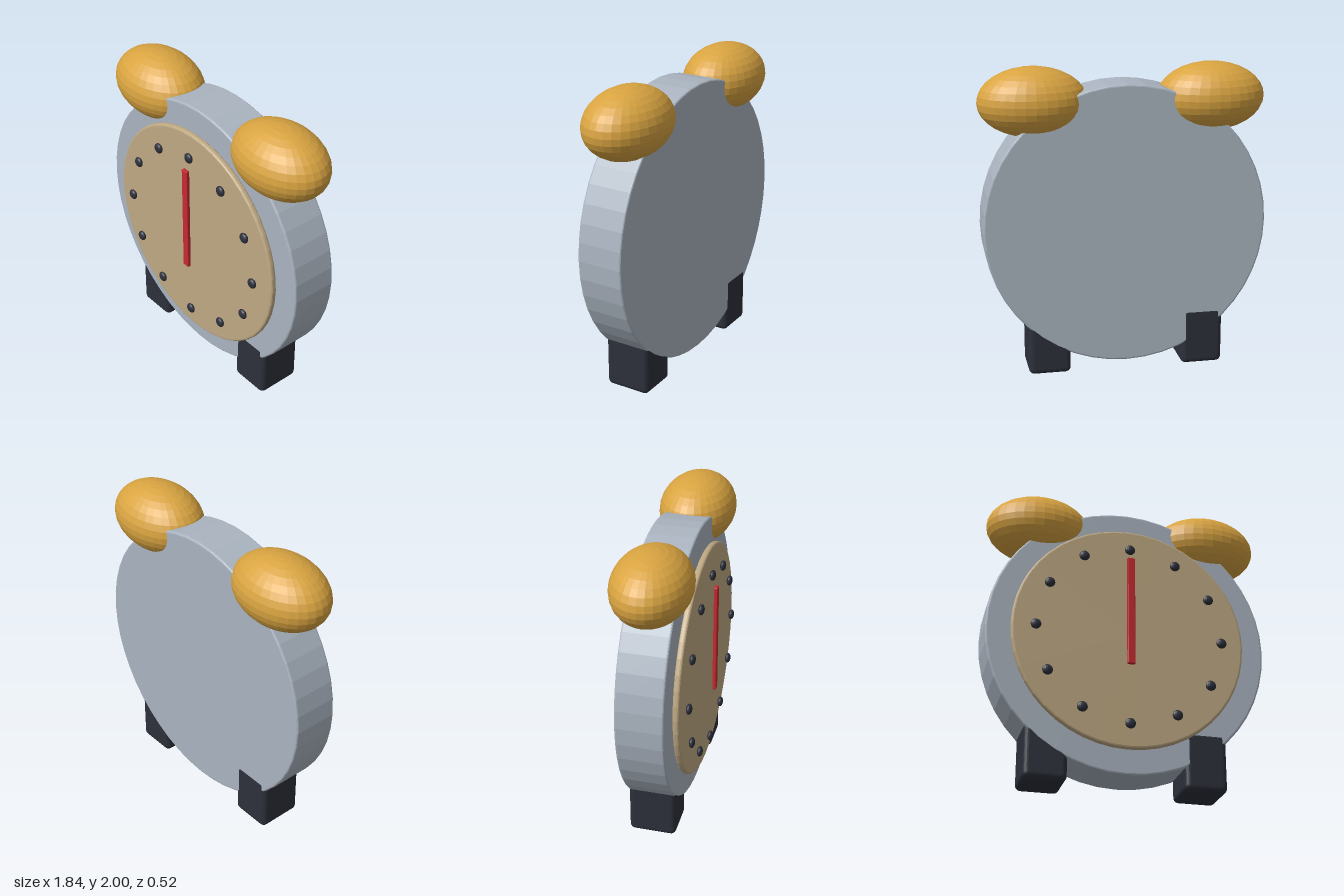
import * as THREE from 'three';
import { RoundedBoxGeometry } from 'three/addons/geometries/RoundedBoxGeometry.js';

const CENTRE_Y = 0.978; // middle of the dial
const MID_Z = -0.011;   // middle of the case thickness

const paint = (color) => new THREE.MeshStandardMaterial({ color, flatShading: true });
const steel = paint(0xaab4c0);
const cream = paint(0xbfa983);
const brass = paint(0xd9a441);
const dark = paint(0x2d303b);
const red = paint(0xc62a30);

// Round plate facing +z, with softened rims
function disc(radius, back, front, bevel, sides) {
  const profile = [new THREE.Vector2(0, back)];
  const steps = 3;
  for (let i = 0; i <= steps; i++) {
    const a = (i / steps) * Math.PI / 2;
    profile.push(new THREE.Vector2(radius - bevel + bevel * Math.sin(a), back + bevel - bevel * Math.cos(a)));
  }
  for (let i = 0; i <= steps; i++) {
    const a = (i / steps) * Math.PI / 2;
    profile.push(new THREE.Vector2(radius - bevel + bevel * Math.cos(a), front - bevel + bevel * Math.sin(a)));
  }
  profile.push(new THREE.Vector2(0, front));
  return new THREE.LatheGeometry(profile, sides).rotateX(Math.PI / 2);
}

export function createModel() {
  const clock = new THREE.Group();
  clock.name = 'alarmClock';

  function add(name, geometry, material, x, y, z) {
    const mesh = new THREE.Mesh(geometry, material);
    mesh.name = name;
    mesh.position.set(x, y, z);
    clock.add(mesh);
    return mesh;
  }

  // Case and dial
  add('case', disc(0.915, -0.1525, 0.1525, 0.013, 48), steel, 0, CENTRE_Y, MID_Z);
  add('dial', disc(0.76, 0.153, 0.195, 0.015, 48), cream, 0, CENTRE_Y, 0);

  // Hour markers: flattened beads around the dial
  const bead = new THREE.SphereGeometry(0.034, 16, 12).scale(1, 1, 0.56);
  for (let i = 0; i < 12; i++) {
    const a = (i / 12) * Math.PI * 2;
    add('hourMarker' + (i + 1), bead, dark, 0.607 * Math.sin(a), CENTRE_Y + 0.607 * Math.cos(a), 0.221);
  }

  // Hand
  add('hand', new RoundedBoxGeometry(0.05, 0.75, 0.024, 2, 0.005), red, 0, 1.133, 0.246);

  // Bells and feet, one of each per side
  const bell = new THREE.SphereGeometry(1, 32, 16).scale(0.348, 0.221, 0.247);
  const foot = new RoundedBoxGeometry(0.275, 0.39, 0.305, 3, 0.035);
  for (const side of [-1, 1]) {
    const label = side > 0 ? 'left' : 'right';
    add(label + 'Bell', bell, brass, side * 0.574, 1.779, MID_Z);
    add(label + 'Foot', foot, dark, side * 0.507, 0.195, MID_Z + side * 0.001);
  }

  return clock;
}
